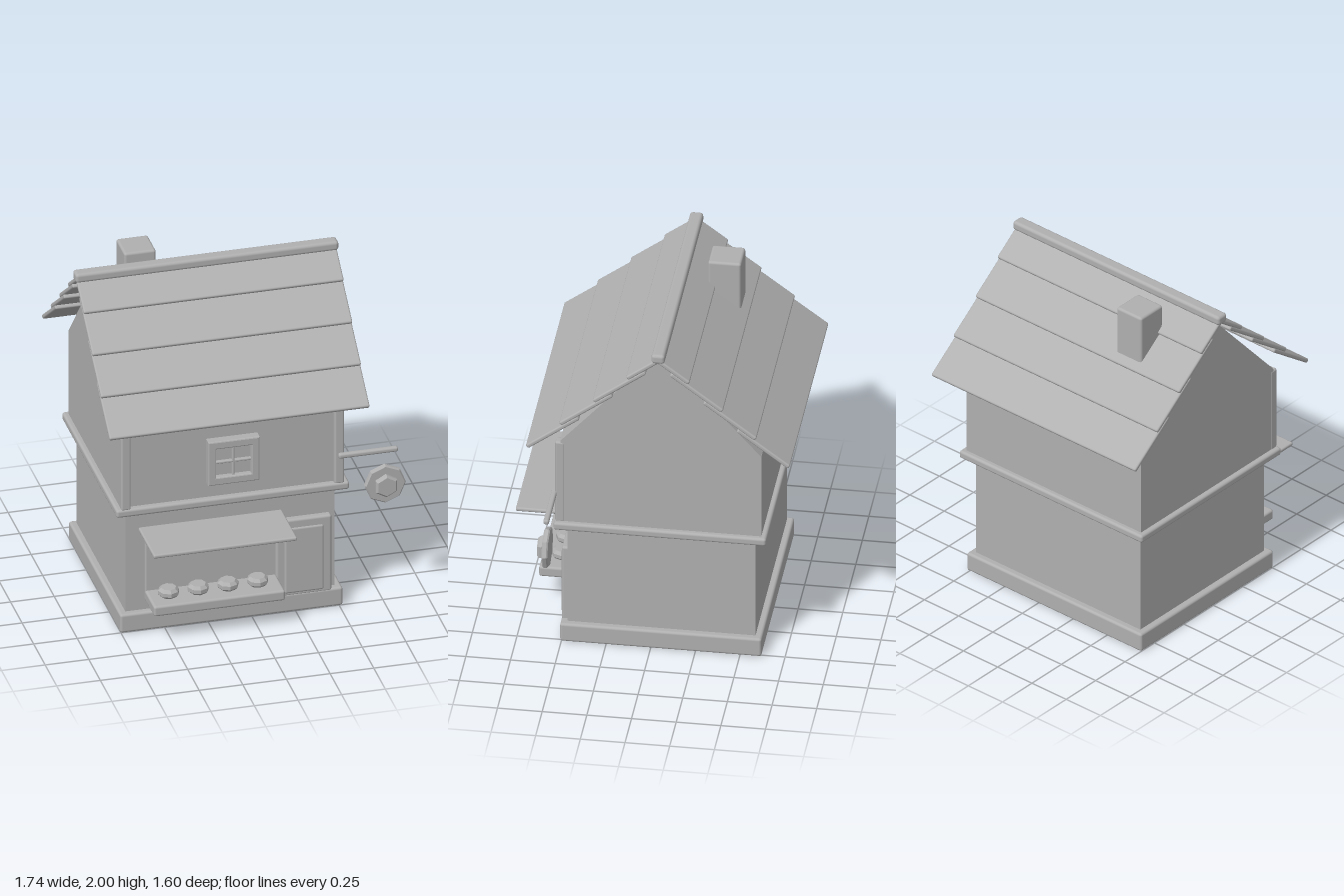
import * as THREE from 'three';
import { RoundedBoxGeometry } from 'three/addons/geometries/RoundedBoxGeometry.js';

const CX = -0.117, CZ = -0.056; // centre of the house body

export function createModel() {
  const model = new THREE.Group();
  model.name = 'shopHouse';
  const clay = new THREE.MeshStandardMaterial({ color: 0xb0b0b0 });
  clay.name = 'plain grey';

  const add = (name, geometry, parent = model) => {
    const mesh = new THREE.Mesh(geometry, clay);
    mesh.name = name;
    parent.add(mesh);
    return mesh;
  };
  // Box from its limits, with softened edges when r > 0
  const box = (name, [x0, x1], [y0, y1], [z0, z1], r = 0, parent = model) => {
    const s = [x1 - x0, y1 - y0, z1 - z0];
    const g = r ? new RoundedBoxGeometry(...s, 2, r) : new THREE.BoxGeometry(...s);
    const mesh = add(name, g, parent);
    mesh.position.set((x0 + x1) / 2, (y0 + y1) / 2, (z0 + z1) / 2);
    return mesh;
  };
  // Faceted disc with bevelled rims, axis along y
  const disc = (radius, height, bevel, sides) => {
    const h = height / 2;
    const profile = [[0, -h], [radius - bevel, -h], [radius, -h + bevel],
      [radius, h - bevel], [radius - bevel, h], [0, h]];
    const g = new THREE.LatheGeometry(profile.map(p => new THREE.Vector2(...p)), sides).toNonIndexed();
    g.computeVertexNormals();
    return g;
  };

  // Body
  box('plinth', [-0.755, 0.52], [0, 0.115], [-0.62, 0.508], 0.015);
  box('lowerWalls', [-0.717, 0.482], [0.1, 0.76], [-0.582, 0.47]);
  box('floorBand', [-0.785, 0.55], [0.745, 0.793], [-0.65, 0.54], 0.015);
  box('upperWalls', [-0.755, 0.52], [0.78, 1.315], [-0.62, 0.505]);
  for (const x of [-0.757, 0.465]) {
    box('cornerPost', [x, x + 0.057], [0.785, 1.308], [0.48, 0.535], 0.012);
  }

  // Gable prism under the roof
  const gable = new THREE.Shape([[-0.563, 1.315], [0.563, 1.315], [0, 1.95]].map(p => new THREE.Vector2(...p)));
  const gableGeo = new THREE.ExtrudeGeometry(gable, { depth: 1.275, bevelEnabled: false });
  gableGeo.rotateY(Math.PI / 2);
  add('gable', gableGeo).position.set(-0.755, 0, CZ);

  // Overlapping roof boards, four per slope
  const pitch = 0.64, thick = 0.026;
  for (const side of [1, -1]) {
    const slope = new THREE.Group();
    slope.name = side > 0 ? 'frontRoof' : 'backRoof';
    for (let i = 0; i < 4; i++) {
      const length = i < 3 ? 0.36 : 0.23;
      const mid = length / 2 - 0.008;
      const board = add('roofBoard', new RoundedBoxGeometry(1.49, thick, length, 2, 0.01), slope);
      board.position.set(CX, 1.332 + i * 0.1665 + mid * Math.sin(pitch),
        CZ + side * (0.728 - i * 0.187 - mid * Math.cos(pitch)));
      board.rotation.x = side * pitch;
    }
    model.add(slope);
  }
  box('ridgeBeam', [-0.87, 0.637], [1.943, 2], [-0.095, -0.02], 0.018);
  box('chimney', [-0.547, -0.365], [1.42, 1.998], [-0.377, -0.192], 0.015);

  // Upstairs window
  const frame = new THREE.Shape();
  frame.moveTo(-0.14, -0.13).lineTo(0.14, -0.13).lineTo(0.14, 0.13).lineTo(-0.14, 0.13).closePath();
  const hole = new THREE.Path();
  hole.moveTo(-0.108, -0.096).lineTo(-0.108, 0.096).lineTo(0.108, 0.096).lineTo(0.108, -0.096).closePath();
  frame.holes.push(hole);
  add('windowFrame', new THREE.ExtrudeGeometry(frame, {
    depth: 0.05, bevelThickness: 0.008, bevelSize: 0.007, bevelSegments: 2,
  })).position.set(CX, 1.023, 0.5);
  box('windowPane', [-0.23, -0.005], [0.92, 1.126], [0.49, 0.525]);
  box('windowBar', [-0.124, -0.11], [0.93, 1.12], [0.515, 0.545], 0.005);
  box('windowBar', [-0.225, -0.01], [1.013, 1.027], [0.515, 0.545], 0.005);

  // Shop front
  box('shopOpening', [-0.607, 0.145], [0.18, 0.59], [0.455, 0.485], 0.01);
  box('counter', [-0.607, 0.145], [0.173, 0.237], [0.46, 0.68], 0.014);
  box('awning', [-0.642, 0.18], [0.611, 0.635], [0.465, 0.805], 0.01);
  for (let i = 0; i < 4; i++) {
    add('loaf', disc(0.06, 0.056, 0.017, 8)).position.set(-0.495 + i * 0.17, 0.263, 0.567);
  }
  box('doorFrame', [0.138, 0.457], [0.1, 0.58], [0.45, 0.507], 0.014);
  box('doorPanel', [0.185, 0.41], [0.12, 0.53], [0.48, 0.515], 0.012);

  // Hanging sign
  box('signPole', [0.485, 0.825], [0.952, 0.982], [0.525, 0.557], 0.012);
  const plate = add('signPlate', disc(0.118, 0.034, 0.008, 8));
  plate.position.set(0.75, 0.76, 0.545);
  plate.rotation.x = Math.PI / 2;
  const boss = add('signBoss', disc(0.07, 0.04, 0.012, 6));
  boss.position.set(0.75, 0.76, 0.575);
  boss.rotation.x = Math.PI / 2;

  return model;
}
